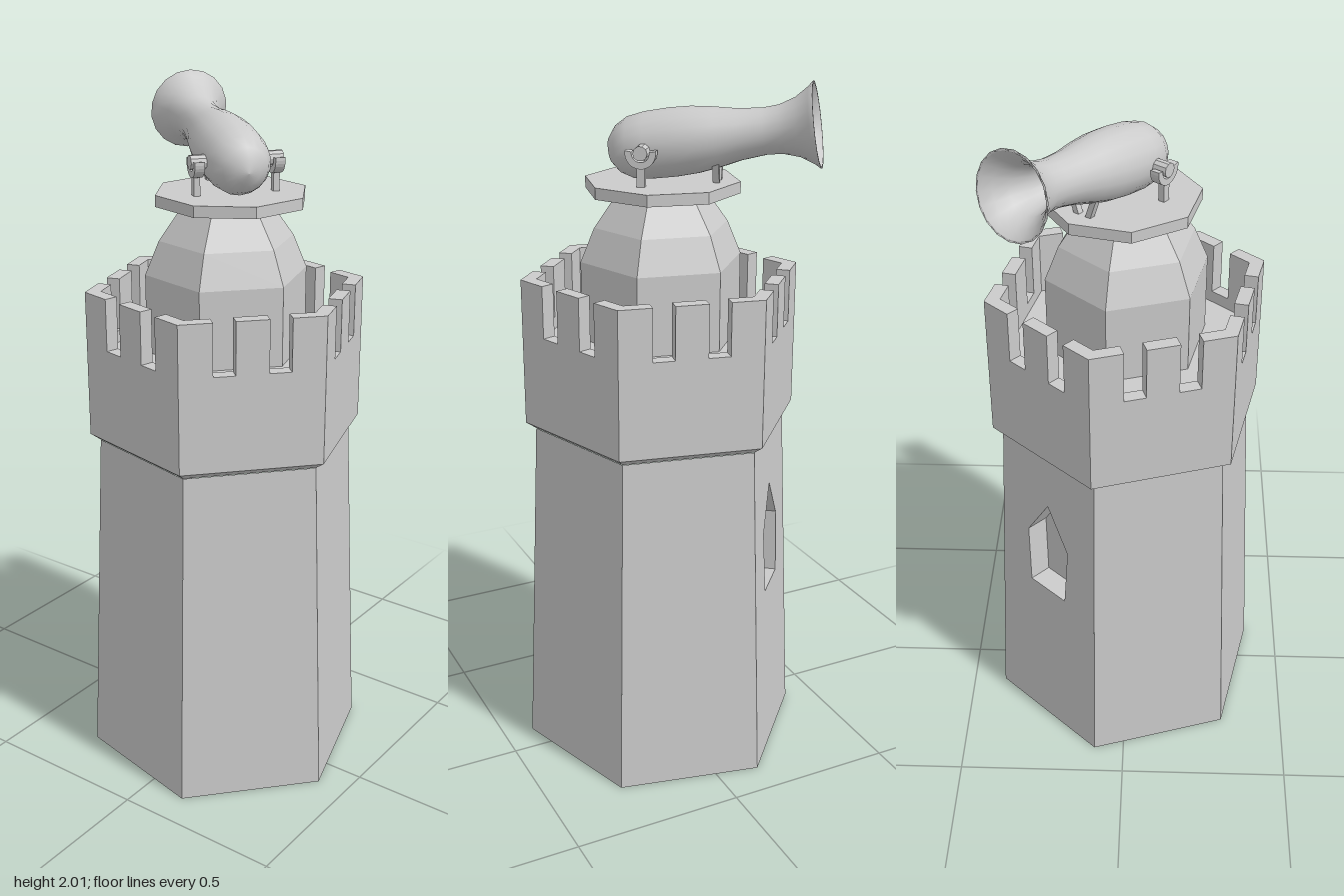
import * as THREE from 'three';

const RAD = Math.PI / 180;
const TURN = 17.6 * RAD; // angle of the first tower corner
const flat = new THREE.MeshStandardMaterial({ color: 0xcccccc, flatShading: true });
const flatDouble = new THREE.MeshStandardMaterial({ color: 0xcccccc, flatShading: true, side: THREE.DoubleSide });
const smooth = new THREE.MeshStandardMaterial({ color: 0xcccccc, side: THREE.DoubleSide });

function add(parent, name, geometry, material = flat) {
  const mesh = new THREE.Mesh(geometry, material);
  mesh.name = name;
  parent.add(mesh);
  return mesh;
}

const points = (list) => list.map(([x, y]) => new THREE.Vector2(x, y));
const hexLathe = (profile) => new THREE.LatheGeometry(points(profile), 6, TURN);
const faceAngle = (k) => TURN + (30 + 60 * k) * RAD;

// Plan point on hexagon side k, drawn with y = -z for extruding upwards
function planPoint(k, along, apothem) {
  const a = faceAngle(k);
  return new THREE.Vector2(
    apothem * Math.sin(a) + along * Math.cos(a),
    -apothem * Math.cos(a) + along * Math.sin(a));
}

function prism(outline, y0, y1) {
  const g = new THREE.ExtrudeGeometry(new THREE.Shape(outline), { depth: y1 - y0, bevelEnabled: false });
  return g.rotateX(-Math.PI / 2).translate(0, y0, 0);
}

// Tapering hexagonal shaft, with a pointed window niche in one side
function buildShaft(root) {
  const shaft = new THREE.Group();
  shaft.name = 'towerShaft';
  root.add(shaft);
  const r0 = 0.42, r1 = 0.373, h = 1.02;
  const apothem = r0 * Math.cos(30 * RAD);
  const tilt = Math.atan((r0 - r1) * Math.cos(30 * RAD) / h);
  const niche = points([[-0.072, 0.53], [0.072, 0.53], [0.083, 0.72], [0, 0.85], [-0.083, 0.72]]);
  const place = (g, k) => g.rotateX(-tilt).translate(0, 0, apothem).rotateY(faceAngle(k));

  for (let k = 0; k < 6; k++) {
    const side = new THREE.Shape(points([[-r0 / 2, 0], [r0 / 2, 0], [r1 / 2, h], [-r1 / 2, h]]));
    if (k === 3) side.holes.push(new THREE.Path(niche));
    add(shaft, 'shaftWall', place(new THREE.ShapeGeometry(side), k));
  }

  // Niche back and jambs
  const depth = 0.07;
  add(shaft, 'windowBack', place(new THREE.ShapeGeometry(new THREE.Shape(niche)).translate(0, 0, -depth), 3));
  const jamb = [];
  niche.forEach((p, i) => {
    const q = niche[(i + 1) % niche.length];
    jamb.push(p.x, p.y, 0, q.x, q.y, 0, q.x, q.y, -depth);
    jamb.push(p.x, p.y, 0, q.x, q.y, -depth, p.x, p.y, -depth);
  });
  const g = new THREE.BufferGeometry();
  g.setAttribute('position', new THREE.Float32BufferAttribute(jamb, 3));
  g.computeVertexNormals();
  add(shaft, 'windowJambs', place(g, 3), flatDouble);

  // Underside
  add(shaft, 'shaftBase', hexLathe([[0, 0], [r0, 0]]));
}

// Parapet ring, floor and merlons
function buildParapet(root) {
  const parapet = new THREE.Group();
  parapet.name = 'parapet';
  root.add(parapet);
  const outer = 0.402, inner = 0.357, sill = 1.315, top = 1.465;
  add(parapet, 'parapetWall', hexLathe([
    [0.373, 1.02], [outer, 1.04], [outer, sill], [inner, sill], [inner, 1.28], [0, 1.28]]));
  const ao = outer * Math.cos(30 * RAD), ai = inner * Math.cos(30 * RAD);
  const near = 0.046, far = 0.107; // notch edges measured from the middle of a side
  for (let k = 0; k < 6; k++) {
    add(parapet, 'middleMerlon', prism([
      planPoint(k, -near, ao), planPoint(k, near, ao),
      planPoint(k, near, ai), planPoint(k, -near, ai)], sill, top));
    add(parapet, 'cornerMerlon', prism([
      planPoint(k, far, ao), planPoint(k, outer / 2, ao), planPoint(k + 1, -far, ao),
      planPoint(k + 1, -far, ai), planPoint(k, inner / 2, ai), planPoint(k, far, ai)], sill, top));
  }
}

// Domed turret and the eight-sided platform
function buildTurret(root) {
  add(root, 'turretDome', hexLathe([
    [0.232, 1.28], [0.232, 1.505], [0.192, 1.6], [0.128, 1.69], [0.1, 1.705]]));
  add(root, 'gunPlatform', new THREE.CylinderGeometry(0.218, 0.218, 0.032, 8, 1, false, 8.5 * RAD)
    .translate(0.005, 1.715, -0.015));
}

// Flared cannon on forked stands; local +z runs towards the muzzle
function buildCannon(root) {
  const gun = new THREE.Group();
  gun.name = 'cannon';
  gun.position.set(0.035, 1.822, 0.005);
  gun.rotation.y = Math.atan2(-0.805, -0.593);
  root.add(gun);

  const barrel = new THREE.LatheGeometry(points([
    [0, -0.116], [0.035, -0.108], [0.064, -0.086], [0.084, -0.05], [0.092, 0], [0.094, 0.07],
    [0.091, 0.13], [0.082, 0.19], [0.07, 0.25], [0.063, 0.32], [0.066, 0.365], [0.08, 0.41],
    [0.104, 0.448], [0.117, 0.462], [0.11, 0.462], [0.088, 0.435], [0.065, 0.4],
    [0.05, 0.35], [0.042, 0.28], [0, 0.27]]), 18);
  add(gun, 'barrel', barrel, smooth).rotation.x = (90 - 8.5) * RAD;
  add(gun, 'trunnion', new THREE.CylinderGeometry(0.02, 0.02, 0.264, 10).rotateZ(Math.PI / 2));

  // Open cradle seen from the side
  const fork = new THREE.Shape();
  fork.absarc(0, 0, 0.042, Math.PI * 0.95, Math.PI * 2.05, false);
  fork.absarc(0, 0, 0.024, Math.PI * 2.05, Math.PI * 0.95, true);
  for (const s of [-1, 1]) {
    const cradle = new THREE.ExtrudeGeometry(fork, { depth: 0.028, bevelEnabled: false, curveSegments: 8 });
    add(gun, 'cradle', cradle.translate(0, 0, -0.014).rotateY(Math.PI / 2).translate(s * 0.114, 0, 0));
    add(gun, 'standPost', new THREE.BoxGeometry(0.018, 0.07, 0.022).translate(s * 0.114, -0.064, 0));
    // Leaning prop under the barrel
    const prop = add(gun, 'barrelProp', new THREE.BoxGeometry(0.016, 0.07, 0.018));
    prop.position.set(s * 0.028, -0.067, 0.19);
    prop.rotation.z = -s * 0.35;
  }
}

export function createModel() {
  const root = new THREE.Group();
  root.name = 'cannonTower';
  buildShaft(root);
  buildParapet(root);
  buildTurret(root);
  buildCannon(root);
  return root;
}
